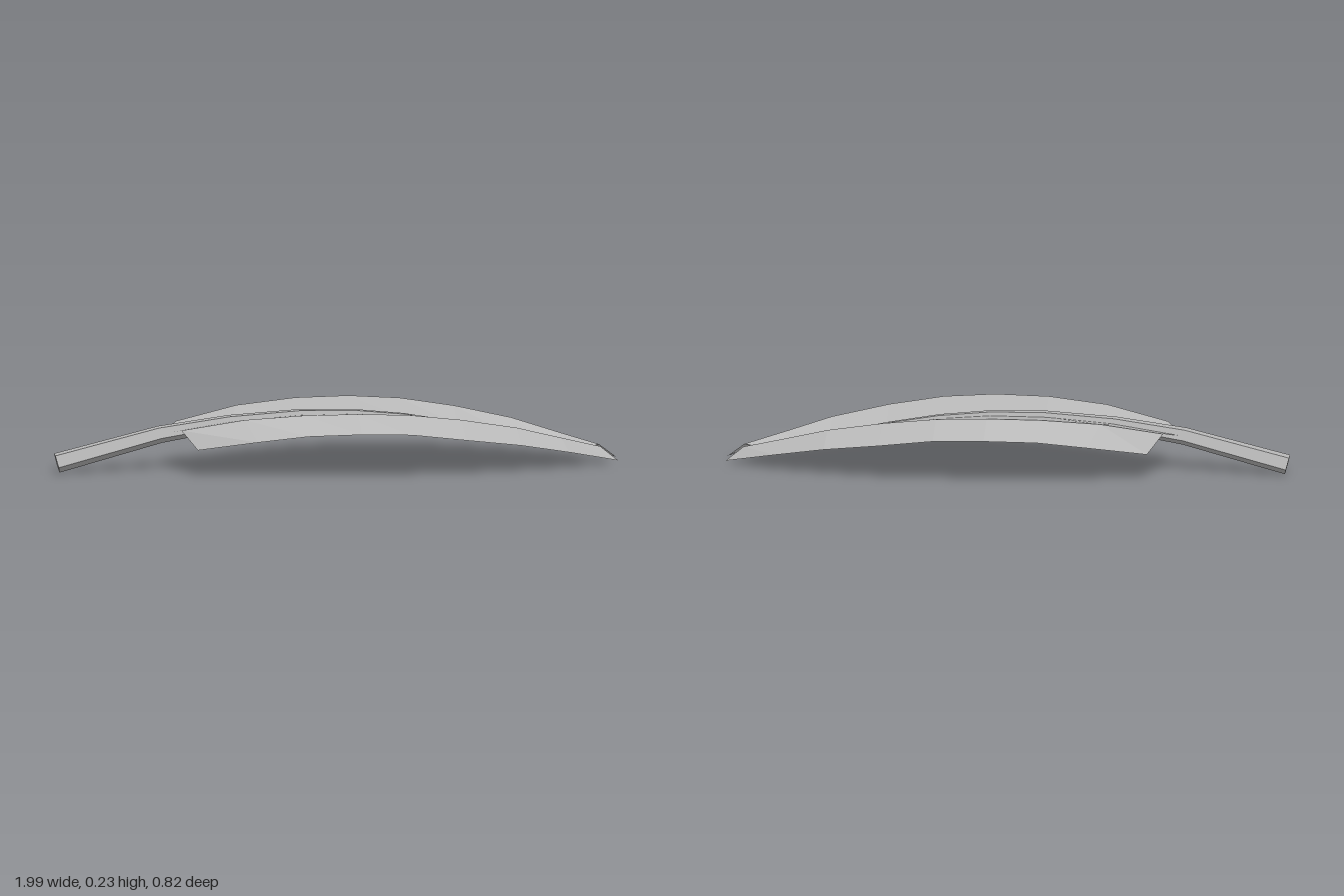
import * as THREE from 'three';

// Local frame: x runs along the quill, z across it; the group is turned at the end.
const grey = new THREE.MeshStandardMaterial({ color: 0xb8b8b8, side: THREE.DoubleSide });
grey.name = 'feather grey';

// Faceted surface through rows of points; closed rows wrap round
function loft(rows, closed) {
  const pos = [];
  const n = rows[0].length;
  for (let i = 0; i < rows.length - 1; i++) {
    for (let j = 0; j < (closed ? n : n - 1); j++) {
      const k = (j + 1) % n;
      const a = rows[i][j], b = rows[i][k], c = rows[i + 1][k], d = rows[i + 1][j];
      pos.push(...a, ...b, ...c, ...a, ...c, ...d);
    }
  }
  if (closed) {
    for (let j = 1; j < n - 1; j++) {
      pos.push(...rows[0][0], ...rows[0][j + 1], ...rows[0][j]);
      const e = rows[rows.length - 1];
      pos.push(...e[0], ...e[j], ...e[j + 1]);
    }
  }
  const g = new THREE.BufferGeometry();
  g.setAttribute('position', new THREE.Float32BufferAttribute(pos, 3));
  g.computeVertexNormals();
  return g;
}

// Quill centre line: along, height, radius
const quill = [
  [-1.045, 0.04, 0.039], [-0.66, 0.14, 0.034], [-0.4, 0.18, 0.029], [-0.14, 0.2, 0.025],
  [0.06, 0.2, 0.021], [0.25, 0.184, 0.017], [0.45, 0.152, 0.013], [0.66, 0.105, 0.009], [0.88, 0.045, 0.005],
];

// Five-sided tapering quill, one flat side up
function shaftGeometry() {
  const rows = quill.map(([s, y, r], i) => {
    const p = quill[Math.max(i - 1, 0)], q = quill[Math.min(i + 1, quill.length - 1)];
    const tilt = Math.atan2(q[1] - p[1], q[0] - p[0]);
    return Array.from({ length: 5 }, (_, k) => {
      const a = -Math.PI / 2 + (k * Math.PI * 2) / 5;
      const up = r * Math.sin(a);
      return [s - up * Math.sin(tilt), y + up * Math.cos(tilt), r * Math.cos(a)];
    });
  });
  return loft(rows, true);
}

// Vane stations: inner edge, ridge, outer edge, each as along, height, distance from quill
const vane = [
  [[-0.66, 0.14, 0], [-0.59, 0.17, 0.09], [-0.535, 0.107, 0.154]],
  [[-0.4, 0.18, 0], [-0.36, 0.215, 0.14], [-0.32, 0.148, 0.234]],
  [[-0.14, 0.2, 0], [-0.14, 0.233, 0.168], [-0.135, 0.174, 0.273]],
  [[0.06, 0.2, 0], [0.06, 0.235, 0.175], [0.06, 0.183, 0.303]],
  [[0.25, 0.184, 0], [0.25, 0.225, 0.162], [0.25, 0.175, 0.291]],
  [[0.45, 0.152, 0], [0.45, 0.197, 0.135], [0.455, 0.146, 0.268]],
  [[0.66, 0.105, 0], [0.66, 0.155, 0.096], [0.665, 0.11, 0.208]],
  [[0.8, 0.068, 0], [0.83, 0.105, 0.055], [0.852, 0.066, 0.138]],
  [[0.88, 0.045, 0], [0.98, 0.062, 0.02], [1.045, 0.01, 0.032]],
];

export function createModel() {
  const feather = new THREE.Group();
  feather.name = 'feather';
  const add = (name, geometry) => {
    const m = new THREE.Mesh(geometry, grey);
    m.name = name;
    feather.add(m);
  };

  add('quill', shaftGeometry());

  // Mirrored ridged vanes, rows reversed on one side so both face up
  for (const side of [1, -1]) {
    const rows = vane.map((row) => {
      const pts = row.map(([s, y, w]) => [s, y, w * side]);
      return side > 0 ? pts : pts.reverse();
    });
    add(side > 0 ? 'frontVane' : 'backVane', loft(rows, false));
  }

  feather.rotation.y = THREE.MathUtils.degToRad(20.2);
  feather.position.z = 0.004;
  const model = new THREE.Group();
  model.name = 'curvedFeather';
  model.add(feather);
  return model;
}
